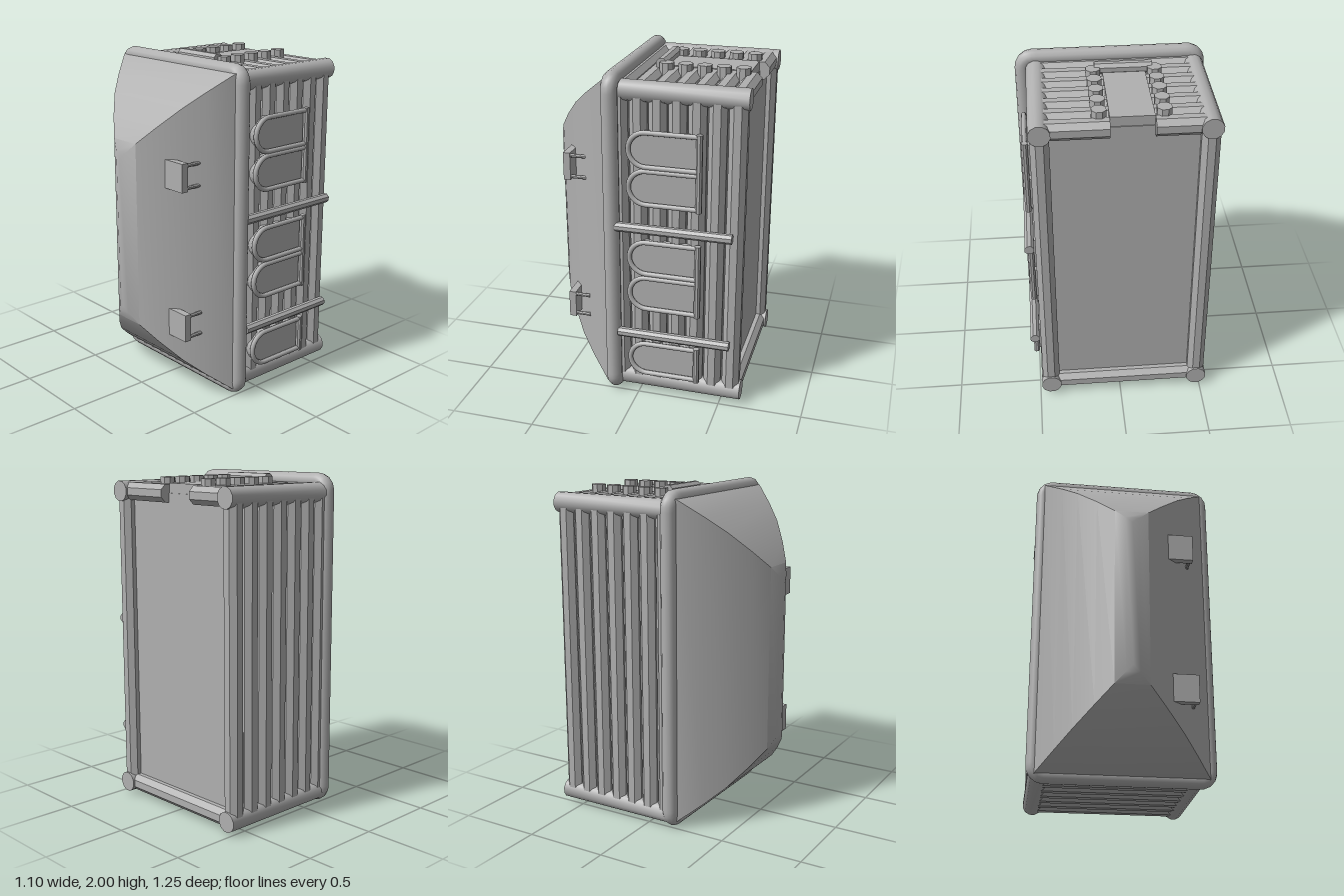
import * as THREE from 'three';
import { toCreasedNormals } from 'three/addons/utils/BufferGeometryUtils.js';

export function createModel() {
  const model = new THREE.Group();
  const grey = new THREE.MeshStandardMaterial({ color: 0xb0b0b0 });
  grey.name = 'plain grey';

  const add = (name, geometry, parent = model) => {
    const mesh = new THREE.Mesh(geometry, grey);
    mesh.name = name;
    parent.add(mesh);
    return mesh;
  };
  const group = (name) => {
    const g = new THREE.Group();
    g.name = name;
    model.add(g);
    return g;
  };
  // Box given by its lower and upper limits
  const box = (name, x0, x1, y0, y1, z0, z1, parent) =>
    add(name, new THREE.BoxGeometry(x1 - x0, y1 - y0, z1 - z0), parent)
      .position.set((x0 + x1) / 2, (y0 + y1) / 2, (z0 + z1) / 2);
  // Round bar between two points, faceted when it has few sides
  const rod = (name, from, to, radius, sides, parent) => {
    const a = new THREE.Vector3(...from), b = new THREE.Vector3(...to);
    const dir = b.clone().sub(a);
    const g = new THREE.CylinderGeometry(radius, radius, dir.length(), sides);
    g.rotateY(Math.PI / sides);
    const mesh = add(name, toCreasedNormals(g, 0.6), parent);
    mesh.quaternion.setFromUnitVectors(new THREE.Vector3(0, 1, 0), dir.normalize());
    mesh.position.copy(a.add(b).multiplyScalar(0.5));
  };

  // Body core and the wall behind the front cap
  const XL = -0.475, XR = 0.43, YB = 0.08, YT = 1.89, BACK = -0.56;
  box('bodyCore', XL, XR, YB, YT, -0.555, 0.15);
  box('capBackWall', -0.505, 0.505, 0.045, 1.955, 0.13, 0.16);

  // Corner beams running front to back
  for (const x of [XL, XR]) for (const y of [YB, YT])
    rod('cornerBeam', [x, y, -0.622], [x, y, 0.14], 0.061, 12);

  // Ribs wrapped round the four walls
  const ribs = group('ribs');
  for (let i = 0; i < 7; i++) {
    const z = BACK + i * 0.1125, r = 0.056;
    for (const x of [XL, XR]) rod('sideRib', [x, YB, z], [x, YT, z], r, 8, ribs);
    rod('bottomRib', [XL, YB, z], [XR, YB, z], r, 8, ribs);
    if (i > 0) rod('topRib', [XL, YT, z], [XR, YT, z], r, 8, ribs);
  }
  // The rear top rib leaves a gap for the hatch
  rod('rearTopRib', [XL, YT, BACK], [-0.18, YT, BACK], 0.056, 8, ribs);
  rod('rearTopRib', [0.06, YT, BACK], [XR, YT, BACK], 0.056, 8, ribs);

  // Top hatch with its bar and two rows of knobs
  box('hatch', -0.18, 0.06, 1.85, 1.947, -0.55, -0.04);
  rod('hatchBar', [-0.22, 1.962, -0.032], [0.105, 1.962, -0.032], 0.035, 8);
  const knobs = group('knobs');
  for (const x of [-0.23, 0.115]) for (let i = 0; i < 5; i++) {
    const z = -0.515 + i * 0.1115;
    rod('knob', [x, 1.88, z], [x, 1.98, z], 0.043, 8, knobs);
  }

  // Rounded frame round the front
  const rounded = (w, h, r) => {
    const s = new THREE.Shape();
    s.moveTo(-w + r, -h);
    s.lineTo(w - r, -h);
    s.absarc(w - r, -h + r, r, -Math.PI / 2, 0);
    s.lineTo(w, h - r);
    s.absarc(w - r, h - r, r, 0, Math.PI / 2);
    s.lineTo(-w + r, h);
    s.absarc(-w + r, h - r, r, Math.PI / 2, Math.PI);
    s.lineTo(-w, -h + r);
    s.absarc(-w + r, -h + r, r, Math.PI, Math.PI * 1.5);
    return s;
  };
  const loop = rounded(0.503, 0.953, 0.055).getSpacedPoints(240)
    .slice(0, -1).map((p) => new THREE.Vector3(p.x, p.y, 0));
  const frameCurve = new THREE.CatmullRomCurve3(loop, true);
  add('frontFrame', new THREE.TubeGeometry(frameCurve, 240, 0.047, 12, true))
    .position.set(0, 1, 0.152);

  // Curved hipped cap: shrinking rectangles closing on a vertical ridge
  const profile = [[0.515, 0.16], [0.5, 0.2], [0.4, 0.322], [0.31, 0.42], [0.2, 0.512],
    [0.1, 0.584], [0.04, 0.615], [0, 0.625]];
  const corners = [[-1, -1], [1, -1], [1, 1], [-1, 1]];
  const at = ([w, z], [sx, sy]) => [sx * w, 1 + sy * (0.45 + w), z];
  const verts = [];
  for (let i = 0; i < profile.length - 1; i++) for (let s = 0; s < 4; s++) {
    const c0 = corners[s], c1 = corners[(s + 1) % 4];
    const a = at(profile[i], c0), b = at(profile[i], c1);
    const c = at(profile[i + 1], c1), d = at(profile[i + 1], c0);
    verts.push(...a, ...b, ...c);
    // Top and bottom faces end in a point on the ridge
    if (profile[i + 1][0] > 0 || s % 2) verts.push(...a, ...c, ...d);
  }
  const capGeo = new THREE.BufferGeometry();
  capGeo.setAttribute('position', new THREE.Float32BufferAttribute(verts, 3));
  add('frontCap', toCreasedNormals(capGeo, 0.7));

  // Square plates held off the cap by two pins
  for (const [x, y, z] of [[0.298, 1.388, 0.462], [0.31, 0.488, 0.453]]) {
    const g = group('bracket');
    box('bracketPlate', x - 0.085, x + 0.085, y - 0.083, y + 0.083, z - 0.021, z + 0.021, g);
    for (const dy of [-0.065, 0.065])
      rod('bracketPin', [x + 0.07, y + dy, z], [x + 0.07, y + dy, 0.345], 0.011, 8, g);
  }

  // Arched windows on the left wall, open end towards the back
  class Arch extends THREE.Curve {
    constructor(half) { super(); this.half = half; }
    getPoint(t, target = new THREE.Vector3()) {
      const h = this.half, front = 0.045 - h, len = front + 0.36;
      const total = 2 * len + Math.PI * h, d = t * total;
      if (d < len) return target.set(0, -h, -0.36 + d);
      if (d > total - len) return target.set(0, h, -0.36 + total - d);
      const a = (d - len) / h;
      return target.set(0, -h * Math.cos(a), front + h * Math.sin(a));
    }
  }
  const windows = group('windows');
  for (const y of [1.58, 1.355, 0.92, 0.692, 0.252]) {
    const half = 0.1;
    const arch = new Arch(half);
    add('windowFrame', new THREE.TubeGeometry(arch, 56, 0.015, 8), windows)
      .position.set(0.512, y, 0);
    // Pane drawn in the (-z, y) plane and turned to face sideways
    const outline = new THREE.Shape(arch.getPoints(56).map((p) => new THREE.Vector2(-p.z, p.y)));
    const pane = new THREE.ExtrudeGeometry(outline, { depth: 0.035, bevelEnabled: false });
    pane.rotateY(Math.PI / 2);
    add('windowPane', pane, windows).position.set(0.46, y, 0);
  }
  // Upright sills closing each set of windows
  for (const [y0, y1] of [[1.24, 1.695], [0.577, 1.035], [0.137, 0.367]])
    rod('windowSill', [0.512, y0, -0.362], [0.512, y1, -0.362], 0.019, 8, windows);

  // Long rails between the windows
  rod('sideRail', [0.517, 1.105, -0.558], [0.517, 1.105, 0.125], 0.029, 8);
  rod('sideRail', [0.517, 0.418, -0.558], [0.517, 0.418, 0.115], 0.029, 8);

  return model;
}
